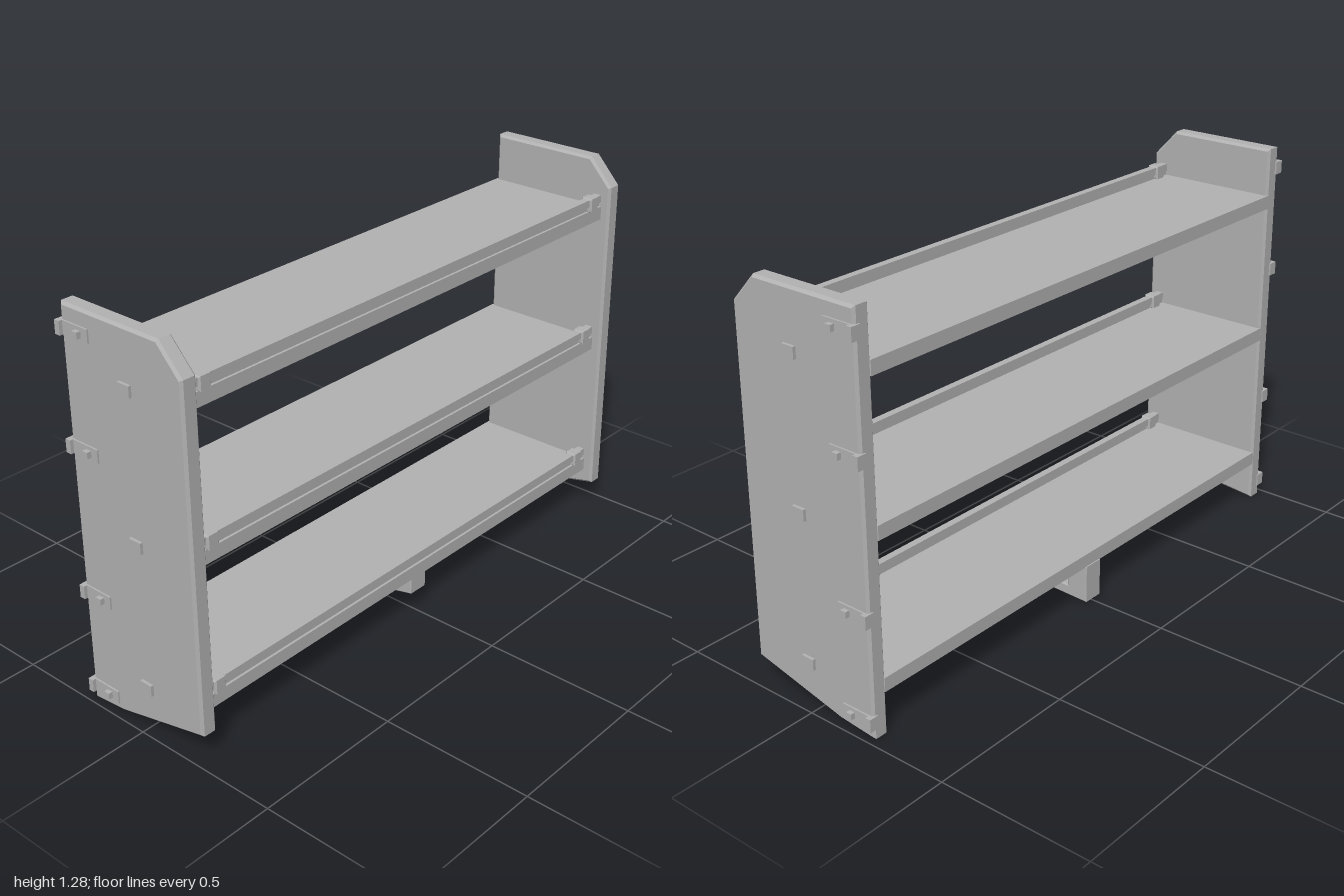
import * as THREE from 'three';

export function createModel() {
  const root = new THREE.Group();
  root.name = 'wallShelf';
  const grey = new THREE.MeshStandardMaterial({ name: 'plain grey', color: 0xb2b2b2, flatShading: true });

  const add = (parent, name, geometry) => {
    const mesh = new THREE.Mesh(geometry, grey);
    mesh.name = name;
    parent.add(mesh);
    return mesh;
  };

  // Box given by its min and max corners
  const box = (parent, name, x0, x1, y0, y1, z0, z1) =>
    add(parent, name, new THREE.BoxGeometry(x1 - x0, y1 - y0, z1 - z0))
      .position.set((x0 + x1) / 2, (y0 + y1) / 2, (z0 + z1) / 2);

  // Side profile (z, y) extruded along x with chamfered edges, centred on x = 0
  const sideProfile = (points, width, bevel, hole) => {
    const shape = new THREE.Shape(points.map(([z, y]) => new THREE.Vector2(z, y)));
    if (hole) shape.holes.push(new THREE.Path(hole.map(([z, y]) => new THREE.Vector2(z, y))));
    const depth = width - 2 * bevel;
    const geometry = new THREE.ExtrudeGeometry(shape, {
      depth, bevelEnabled: bevel > 0, bevelThickness: bevel,
      bevelSize: bevel, bevelOffset: -bevel, bevelSegments: 1,
    });
    return geometry.translate(0, 0, -depth / 2).rotateY(-Math.PI / 2);
  };

  const shelfBottoms = [0.132, 0.604, 1.075];
  const clipHeights = [0.055, 0.382, 0.853, 1.207];

  // Side panels with through tenons and wall clips
  const panelProfile = [
    [-0.23, 0], [-0.1, 0.012], [0.234, 0.088], [0.23, 1.188], [0.147, 1.277], [-0.228, 1.277],
  ];
  for (const side of [-1, 1]) {
    const group = new THREE.Group();
    group.name = side > 0 ? 'leftSide' : 'rightSide';
    root.add(group);
    add(group, 'sidePanel', sideProfile(panelProfile, 0.055, 0.008)).position.x = side * 0.953;

    const outer = (name, x0, x1, ...rest) =>
      side > 0 ? box(group, name, x0, x1, ...rest) : box(group, name, -x1, -x0, ...rest);
    for (const y of shelfBottoms) {
      outer('tenon', 0.93, 0.99, y + 0.005, y + 0.041, -0.007, 0.038);
    }
    for (const y of clipHeights) {
      outer('clipPlate', 0.975, 0.986, y - 0.021, y + 0.021, -0.234, -0.117);
      outer('clipEnd', 0.965, 0.997, y - 0.021, y + 0.021, -0.234, -0.215);
      outer('clipStud', 0.98, 1.0, y - 0.01, y + 0.01, -0.162, -0.142);
    }
  }

  // Shelves, each with a front rail held by two end blocks
  for (const y of shelfBottoms) {
    const shelf = new THREE.Group();
    shelf.name = 'shelf';
    root.add(shelf);
    const board = [[-0.23, y], [0.2, y], [0.2, y + 0.045], [-0.23, y + 0.045]];
    add(shelf, 'board', sideProfile(board, 1.87, 0.004));
    box(shelf, 'lip', -0.925, 0.925, y + 0.044, y + 0.062, 0.181, 0.192);
    const rail = [[0.175, y + 0.06], [0.2, y + 0.06], [0.2, y + 0.085], [0.175, y + 0.085]];
    add(shelf, 'rail', sideProfile(rail, 1.85, 0.004));
    for (const side of [-1, 1]) {
      const block = [[0.169, y + 0.042], [0.207, y + 0.042], [0.207, y + 0.088], [0.169, y + 0.088]];
      add(shelf, 'railBlock', sideProfile(block, 0.044, 0.005)).position.x = side * 0.876;
    }
  }

  // Central support bracket with a triangular opening
  add(root, 'supportBracket', sideProfile(
    [[-0.234, 0.008], [-0.1, 0.012], [0.2, 0.08], [0.2, 0.134], [-0.234, 0.134]],
    0.074, 0.003,
    [[0.1, 0.112], [-0.16, 0.112], [-0.16, 0.045], [-0.1, 0.045]],
  ));

  return root;
}
